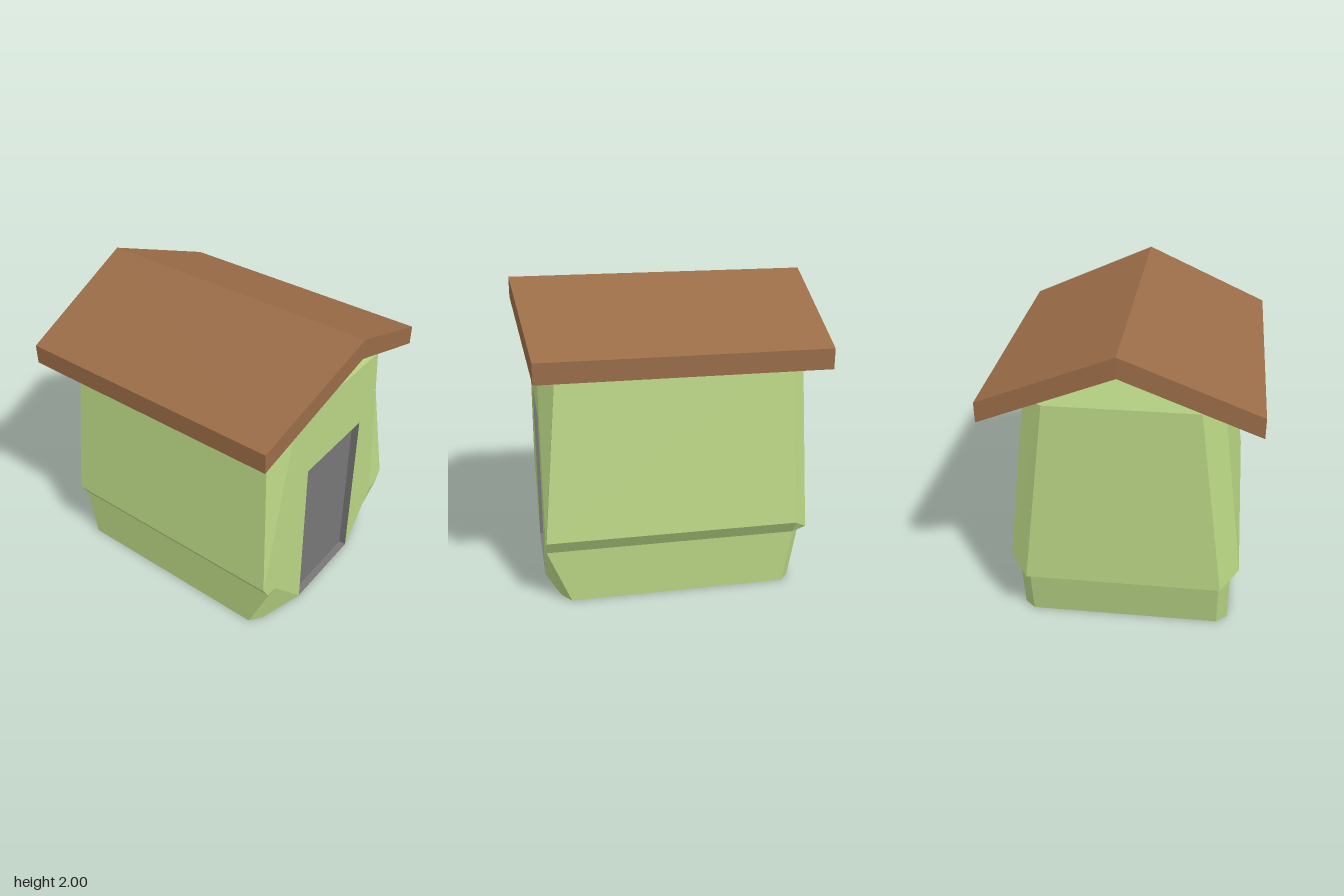
import * as THREE from 'three';

const material = (name, color) => Object.assign(new THREE.MeshStandardMaterial({ color }), { name });

// Mirror half-model faces across x; wall points sit slightly off centre.
function mirroredMesh(name, faces, mat, shift = 0) {
  const positions = [];
  for (const side of [1, -1]) {
    for (const face of faces) {
      const pts = face.map(([x, y, z]) => [side * x + (x > 0.4 ? shift : 0), y, z]);
      if (side < 0) pts.reverse();
      for (let i = 1; i < pts.length - 1; i++) positions.push(...pts[0], ...pts[i], ...pts[i + 1]);
    }
  }
  const geometry = new THREE.BufferGeometry();
  geometry.setAttribute('position', new THREE.Float32BufferAttribute(positions, 3));
  geometry.computeVertexNormals();
  const mesh = new THREE.Mesh(geometry, mat);
  mesh.name = name;
  return mesh;
}

export function createModel() {
  const group = new THREE.Group();
  group.name = 'hut';
  const green = material('wall green', 0xb9d584);
  const brown = material('roof brown', 0x9a6c47);
  const grey = material('door grey', 0x777777);

  // Doorway size and front plane
  const dw = 0.31, dh = 1.15, zf = 0.84, zr = 0.79;

  // Front corner points of the walls, from the ground up
  const door0 = [dw, 0, zf], door1 = [dw, dh, zf];
  const front0 = [0.61, 0, 0.75], front1 = [0.61, 0.36, zf], front2 = [0.47, 1.62, zf];
  const sideF0 = [0.69, 0, 0.69], sideF1 = [0.69, 0.36, zf];
  const sideF2 = [0.745, 0.45, zf], sideF3 = [0.6, 1.62, 0.73];
  // Rear corner points
  const sideB0 = [0.69, 0, -0.73], sideB1 = [0.69, 0.36, -0.79];
  const sideB2 = [0.745, 0.45, -0.79], sideB3 = [0.6, 1.62, -0.77];
  const back0 = [0.62, 0, -0.79], back1 = [0.62, 0.36, -0.85];
  const back2 = [0.63, 0.36, -0.9], back3 = [0.47, 1.62, -0.87];
  // Gable peaks and points on the centre line
  const peakF = [0, 1.865, 0.74], peakB = [0, 1.865, -0.78];
  const mid = ([, y, z]) => [0, y, z];

  // Front wall around the doorway
  group.add(mirroredMesh('frontWall', [
    [door0, front0, front1],
    [door0, front1, door1],
    [door1, front1, front2],
    [mid(door1), door1, front2, mid(front2)],
    [mid(front2), front2, peakF],
    [front2, sideF3, peakF],
  ], green, -0.01));

  // Chamfered corners
  group.add(mirroredMesh('corners', [
    [front0, sideF0, sideF1, front1],
    [front1, sideF1, sideF2],
    [front1, sideF2, sideF3, front2],
    [sideB0, back0, back1, sideB1],
    [sideB1, back1, back2, sideB2],
    [sideB2, back2, back3, sideB3],
  ], green, -0.01));

  // Side walls with an overhanging ledge, and the ceiling slopes
  group.add(mirroredMesh('sideWalls', [
    [sideF0, sideB0, sideB1, sideF1],
    [sideF1, sideB1, sideB2, sideF2],
    [sideF2, sideB2, sideB3, sideF3],
    [sideF3, sideB3, peakB, peakF],
  ], green, -0.01));

  // Back wall
  group.add(mirroredMesh('backWall', [
    [back0, mid(back0), mid(back1), back1],
    [back1, mid(back1), mid(back2), back2],
    [back2, mid(back2), mid(back3), back3],
    [back3, mid(back3), peakB],
    [sideB3, back3, peakB],
  ], green, -0.01));

  // Underside
  group.add(mirroredMesh('base', [
    [mid(back0), back0, sideB0, sideF0, front0, door0, mid(door0)],
  ], green, -0.01));

  // Recessed doorway: panel, jambs, lintel and sill
  group.add(mirroredMesh('doorway', [
    [[0, 0, zr], [dw, 0, zr], [dw, dh, zr], [0, dh, zr]],
    [[dw, 0, zr], [dw, 0, zf], [dw, dh, zf], [dw, dh, zr]],
    [[0, dh, zr], [dw, dh, zr], [dw, dh, zf], [0, dh, zf]],
    [[0, 0.002, zf], [dw, 0.002, zf], [dw, 0.002, zr], [0, 0.002, zr]],
  ], grey));

  // Thick gabled roof whose ridge is longer than its eaves
  const ridge = (y, z) => [0, y, z];
  const eave = (y, z) => [0.84, y, z];
  const rf = 0.97, rb = -0.975, ef = 0.88, eb = -0.935;
  group.add(mirroredMesh('roof', [
    [ridge(2, rf), eave(1.65, ef), eave(1.65, eb), ridge(2, rb)],
    [ridge(1.87, rb), eave(1.52, eb), eave(1.52, ef), ridge(1.87, rf)],
    [eave(1.52, ef), eave(1.52, eb), eave(1.65, eb), eave(1.65, ef)],
    [ridge(1.87, rf), eave(1.52, ef), eave(1.65, ef), ridge(2, rf)],
    [eave(1.52, eb), ridge(1.87, rb), ridge(2, rb), eave(1.65, eb)],
  ], brown));

  return group;
}
